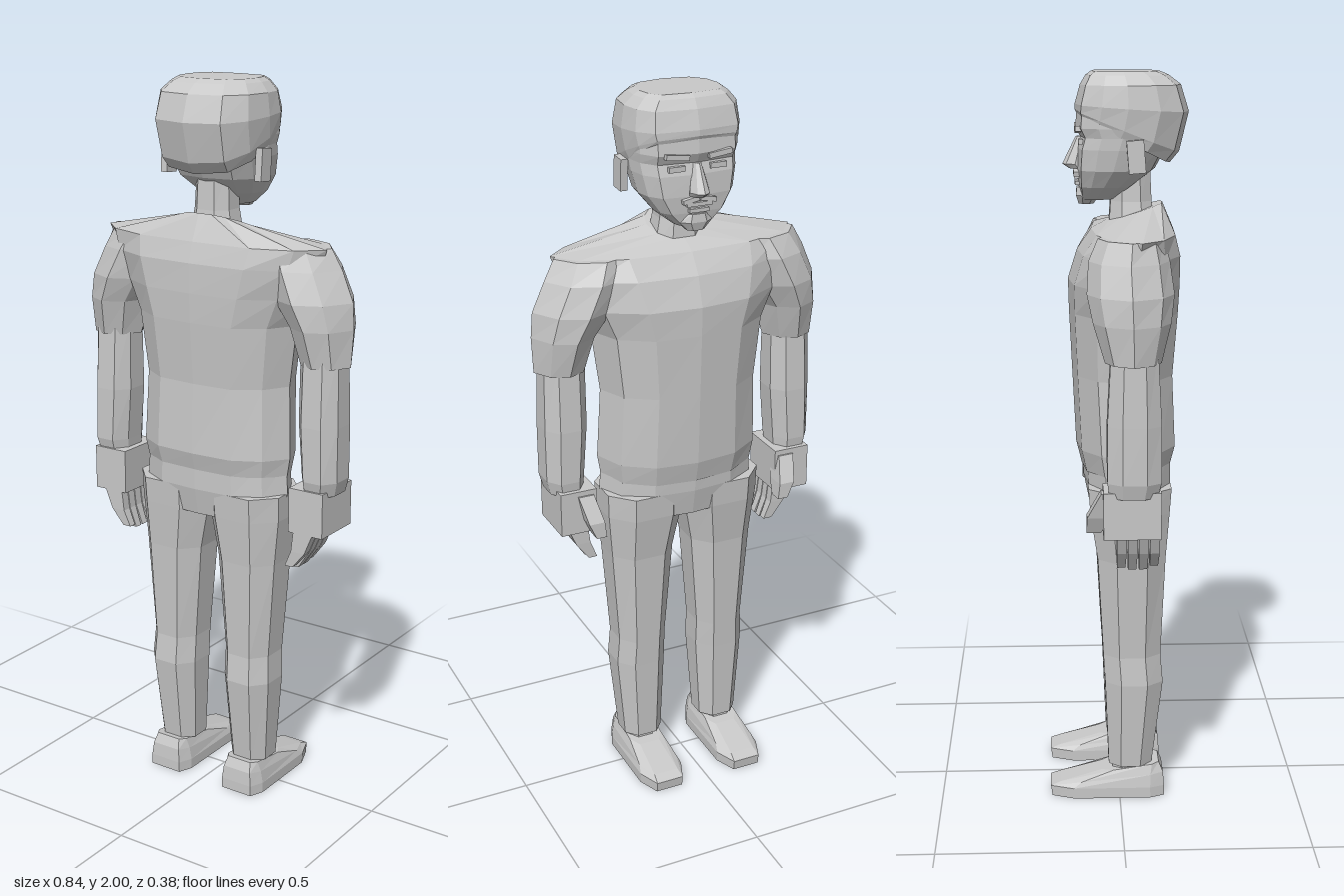
import * as THREE from 'three';

const grey = new THREE.MeshStandardMaterial({ color: 0xc8c8c8 });
grey.name = 'plain grey';

// Half cross-sections (x, z) from the back centre to the front centre
const TORSO = [[0, 1], [0.5, 0.95], [0.82, 0.62], [1, 0.1], [0.85, -0.52], [0.5, -0.9], [0, -1]];
const HEAD = [[0, 1], [0.65, 0.86], [0.93, 0.45], [1, -0.1], [0.94, -0.55], [0.74, -0.9], [0, -1]];
const OCT = [[0.5, 1], [1, 0.45], [1, -0.45], [0.5, -1]];
const POINTED = [[0, 1], [0.62, 0.7], [1, 0], [0.62, -0.7], [0, -1]];
const BOX = [[1, 1], [1, -1]];
const CHAMFER = [[0.75, 1], [1, 0.75], [1, -0.6], [0.62, -1]];

// Faceted skin through rings listed upwards: [y, xMin, xMax, zFront, zBack, tilt]
function loft(name, half, rings) {
  const mirrored = half.filter(p => p[0] > 0).reverse().map(([x, z]) => [-x, z]);
  const section = [...half, ...mirrored];
  const n = section.length;
  const loops = rings.map(([y, x0, x1, z0, z1, tilt = 0]) => section.map(([u, w]) =>
    [(x0 + x1) / 2 + u * (x1 - x0) / 2, y + w * tilt, (z0 + z1) / 2 + w * (z1 - z0) / 2]));
  const mid = rings.map(([y, x0, x1, z0, z1]) => [(x0 + x1) / 2, y, (z0 + z1) / 2]);
  const last = rings.length - 1;
  const pos = [];
  for (let j = 0; j < n; j++) {
    const k = (j + 1) % n;
    for (let i = 0; i < last; i++) {
      const a = loops[i][j], b = loops[i][k], c = loops[i + 1][k], d = loops[i + 1][j];
      pos.push(...a, ...b, ...c, ...a, ...c, ...d);
    }
    pos.push(...mid[0], ...loops[0][k], ...loops[0][j]);
    pos.push(...mid[last], ...loops[last][j], ...loops[last][k]);
  }
  const g = new THREE.BufferGeometry();
  g.setAttribute('position', new THREE.Float32BufferAttribute(pos, 3));
  g.computeVertexNormals();
  const mesh = new THREE.Mesh(g, grey);
  mesh.name = name;
  return mesh;
}

// Ring helpers: centred on x = 0, and on one side of the body
const centred = rows => rows.map(([y, w, ...rest]) => [y, -w, w, ...rest]);
const sided = (s, rows) => rows.map(([y, a, b, ...rest]) =>
  [y, s > 0 ? a : -b, s > 0 ? b : -a, ...rest]);

function box(name, w, h, d, x, y, z, rz = 0, rx = 0) {
  const mesh = new THREE.Mesh(new THREE.BoxGeometry(w, h, d), grey);
  mesh.name = name;
  mesh.position.set(x, y, z);
  mesh.rotation.set(rx, 0, rz);
  return mesh;
}

function makeArm(s) {
  const arm = new THREE.Group();
  arm.name = s > 0 ? 'leftArm' : 'rightArm';
  const add = (name, sec, rows) => arm.add(loft(name, sec, sided(s, rows)));
  add('sleeve', POINTED, [
    [1.28, 0.265, 0.415, -0.045, 0.1], [1.38, 0.235, 0.42, -0.075, 0.125],
    [1.45, 0.18, 0.415, -0.09, 0.135], [1.53, 0.14, 0.38, -0.085, 0.125],
    [1.585, 0.12, 0.35, -0.06, 0.11]]);
  add('forearm', OCT, [
    [0.93, 0.295, 0.39, -0.035, 0.09], [0.97, 0.292, 0.4, -0.04, 0.1],
    [1.12, 0.28, 0.4, -0.04, 0.1], [1.32, 0.28, 0.395, -0.03, 0.09]]);
  add('palm', BOX, [[0.82, 0.275, 0.38, -0.05, 0.1], [0.945, 0.275, 0.38, -0.05, 0.1]]);
  // Four fingers curling towards the body
  for (let i = 0; i < 4; i++) {
    const z = 0.073 - i * 0.029, drop = [0.01, 0, 0, 0.005][i];
    add('finger', BOX, [
      [0.71 + drop, 0.263, 0.288, z + 0.002, z + 0.024],
      [0.765, 0.283, 0.325, z, z + 0.026],
      [0.825, 0.29, 0.35, z, z + 0.026]]);
  }
  add('thumb', BOX, [
    [0.815, 0.265, 0.295, -0.093, -0.055],
    [0.86, 0.27, 0.315, -0.092, -0.03],
    [0.93, 0.285, 0.33, -0.055, 0]]);
  return arm;
}

function makeLeg(s) {
  const leg = new THREE.Group();
  leg.name = s > 0 ? 'leftLeg' : 'rightLeg';
  const add = (name, sec, rows) => leg.add(loft(name, sec, sided(s, rows)));
  add('trouserLeg', OCT, [
    [0.09, 0.065, 0.18, -0.03, 0.09], [0.34, 0.052, 0.2, -0.04, 0.12],
    [0.42, 0.052, 0.195, -0.045, 0.113], [0.7, 0.03, 0.215, -0.06, 0.125],
    [0.83, 0.004, 0.228, -0.08, 0.135], [0.9, 0.002, 0.23, -0.085, 0.14]]);
  add('shoe', CHAMFER, [
    [0, 0.06, 0.19, -0.19, 0.125], [0.03, 0.06, 0.19, -0.194, 0.125],
    [0.055, 0.066, 0.184, -0.165, 0.122, 0.014], [0.085, 0.075, 0.175, -0.05, 0.11, 0.012]]);
  add('ankle', OCT, [[0.05, 0.08, 0.17, -0.02, 0.08], [0.12, 0.08, 0.17, -0.02, 0.08]]);
  return leg;
}

function makeHead() {
  const head = new THREE.Group();
  head.name = 'head';
  head.add(loft('face', HEAD, centred([
    [1.665, 0.05, -0.098, -0.01], [1.7, 0.095, -0.105, 0.04], [1.745, 0.128, -0.11, 0.1],
    [1.8, 0.14, -0.108, 0.13], [1.83, 0.143, -0.1, 0.14], [1.855, 0.146, -0.113, 0.15],
    [1.93, 0.145, -0.106, 0.15]])));
  // Hair cap, lower at the nape than at the forehead
  head.add(loft('hair', HEAD, centred([
    [1.825, 0.143, -0.109, 0.14, -0.065], [1.845, 0.15, -0.114, 0.165, -0.055],
    [1.905, 0.156, -0.114, 0.19, -0.01], [1.965, 0.148, -0.1, 0.168],
    [1.99, 0.125, -0.085, 0.135], [2, 0.11, -0.07, 0.11]])));
  head.add(loft('nose', POINTED, centred([
    [1.745, 0.025, -0.13, -0.08], [1.757, 0.028, -0.148, -0.08], [1.83, 0.012, -0.112, -0.08]])));
  head.add(box('upperLip', 0.07, 0.01, 0.02, 0, 1.725, -0.107));
  head.add(box('lowerLip', 0.055, 0.01, 0.02, 0, 1.708, -0.105));
  head.add(loft('goatee', OCT, centred([
    [1.652, 0.025, -0.105, -0.065], [1.675, 0.045, -0.112, -0.05], [1.697, 0.035, -0.11, -0.05]])));
  for (const s of [-1, 1]) {
    head.add(box('ear', 0.02, 0.085, 0.045, s * 0.15, 1.785, 0.043, 0, -0.08));
    head.add(box('eye', 0.045, 0.014, 0.012, s * 0.058, 1.818, -0.1));
    head.add(box('eyebrow', 0.065, 0.014, 0.016, s * 0.06, 1.85, -0.107, s * 0.12));
    head.add(box('moustache', 0.045, 0.012, 0.018, s * 0.024, 1.737, -0.11, -s * 0.2));
  }
  return head;
}

export function createModel() {
  const model = new THREE.Group();
  model.name = 'standingMan';
  model.add(makeHead());
  model.add(loft('neck', OCT, centred([
    [1.58, 0.07, -0.025, 0.1], [1.66, 0.055, -0.02, 0.09], [1.77, 0.05, -0.02, 0.085]])));
  // Shirt body with a sloping collar
  model.add(loft('shirt', TORSO, centred([
    [0.945, 0.228, -0.1, 0.145, 0.012], [1, 0.237, -0.115, 0.158, 0.006], [1.2, 0.228, -0.125, 0.15],
    [1.37, 0.25, -0.133, 0.163], [1.45, 0.29, -0.135, 0.166], [1.53, 0.33, -0.11, 0.165],
    [1.585, 0.35, -0.072, 0.15], [1.632, 0.075, -0.03, 0.12, 0.024]])));
  // Trouser seat between shirt and legs
  model.add(loft('hips', TORSO, centred([
    [0.825, 0.215, -0.08, 0.13], [0.9, 0.232, -0.095, 0.145], [0.99, 0.226, -0.1, 0.145]])));
  for (const s of [-1, 1]) model.add(makeArm(s), makeLeg(s));
  return model;
}
